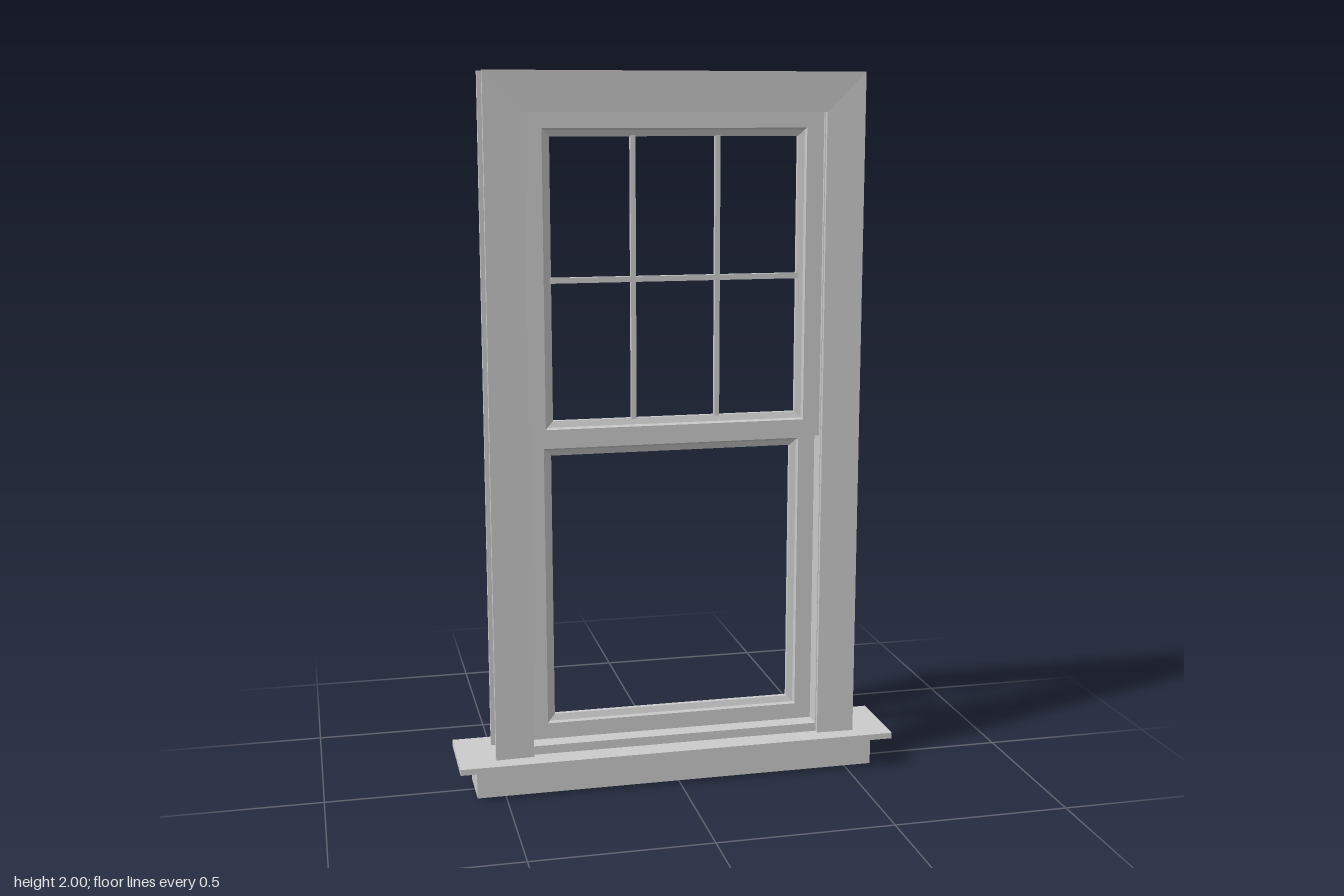
import * as THREE from 'three';

const grey = new THREE.MeshStandardMaterial({ color: 0xcccccc, side: THREE.DoubleSide });

// Sweeps a profile of [inset, z] points around a rectangle with mitred corners.
// An open frame has no bottom rail: its legs simply end at y0.
function mitredFrame(name, halfWidth, y0, y1, profile, open = false) {
  const corners = [[-1, -1], [-1, 1], [1, 1], [1, -1]];
  const point = ([sx, sy], [inset, z]) => [
    sx * (halfWidth - inset),
    sy > 0 ? y1 - inset : y0 + (open ? 0 : inset),
    z,
  ];
  const positions = [];
  for (let i = 0; i < (open ? 3 : 4); i++) {
    for (let j = 0; j < profile.length; j++) {
      const here = corners[i], next = corners[(i + 1) % 4];
      const p = profile[j], q = profile[(j + 1) % profile.length];
      const a = point(here, p), b = point(here, q), c = point(next, q), d = point(next, p);
      positions.push(...a, ...b, ...c, ...a, ...c, ...d);
    }
  }
  const geometry = new THREE.BufferGeometry();
  geometry.setAttribute('position', new THREE.Float32BufferAttribute(positions, 3));
  geometry.computeVertexNormals();
  const mesh = new THREE.Mesh(geometry, grey);
  mesh.name = name;
  return mesh;
}

// Box given by its limits on each axis
function box(name, x0, x1, y0, y1, z0, z1) {
  const mesh = new THREE.Mesh(new THREE.BoxGeometry(x1 - x0, y1 - y0, z1 - z0), grey);
  mesh.position.set((x0 + x1) / 2, (y0 + y1) / 2, (z0 + z1) / 2);
  mesh.name = name;
  return mesh;
}

// Sash section: flat face, small step and bevel towards the glass, on both sides
function sashProfile(z) {
  return [
    [0, z - 0.02], [0, z + 0.02], [0.048, z + 0.02], [0.053, z + 0.013], [0.07, z + 0.007],
    [0.07, z - 0.007], [0.053, z - 0.013], [0.048, z - 0.02],
  ];
}

// Sash lock: base plate, round pivot and swinging lever
function sashLock(x, y, z) {
  const lock = new THREE.Group();
  lock.name = 'sashLock';
  lock.add(box('lockPlate', -0.032, 0.032, 0, 0.006, -0.009, 0.009));
  const pivot = new THREE.Mesh(new THREE.CylinderGeometry(0.009, 0.011, 0.012, 16), grey);
  pivot.position.y = 0.011;
  pivot.name = 'lockPivot';
  const lever = box('lockLever', -0.005, 0.035, 0.013, 0.02, -0.005, 0.005);
  lever.rotation.y = 0.4;
  lock.add(pivot, lever);
  lock.position.set(x, y, z);
  return lock;
}

export function createModel() {
  const model = new THREE.Group();
  model.name = 'sashWindow';

  // Sill and apron
  model.add(box('apron', -0.58, 0.58, 0, 0.09, -0.07, 0.07));
  model.add(box('sill', -0.63, 0.63, 0.09, 0.107, -0.118, 0.115));

  // Jamb lining with threshold
  model.add(mitredFrame('jamb', 0.44, 0.107, 1.92,
    [[0, -0.053], [0, 0.049], [0.024, 0.049], [0.024, -0.053]], true));
  model.add(box('threshold', -0.416, 0.416, 0.107, 0.132, -0.053, 0.049));

  // Casings on both faces, slightly thinner towards the opening
  for (const side of [1, -1]) {
    const profile = [[0, side * 0.051], [0, side * 0.068], [0.108, side * 0.064], [0.108, side * 0.051]];
    if (side < 0) profile.reverse();
    model.add(mitredFrame(side > 0 ? 'frontCasing' : 'backCasing', 0.525, 0.107, 2, profile, true));
  }

  // Upper sash in the front track, lower sash in the back track
  const upper = new THREE.Group();
  upper.name = 'upperSash';
  upper.add(mitredFrame('upperSashFrame', 0.415, 0.99, 1.898, sashProfile(0.021)));
  for (const x of [-0.118, 0.118]) {
    upper.add(box('verticalMuntin', x - 0.007, x + 0.007, 1.055, 1.835, 0.013, 0.029));
  }
  upper.add(box('horizontalMuntin', -0.35, 0.35, 1.437, 1.452, 0.0125, 0.0295));
  model.add(upper);

  const lower = new THREE.Group();
  lower.name = 'lowerSash';
  lower.add(mitredFrame('lowerSashFrame', 0.415, 0.13, 1.025, sashProfile(-0.021)));
  for (const x of [-0.24, 0.24]) lower.add(sashLock(x, 1.025, -0.021));
  model.add(lower);

  return model;
}
